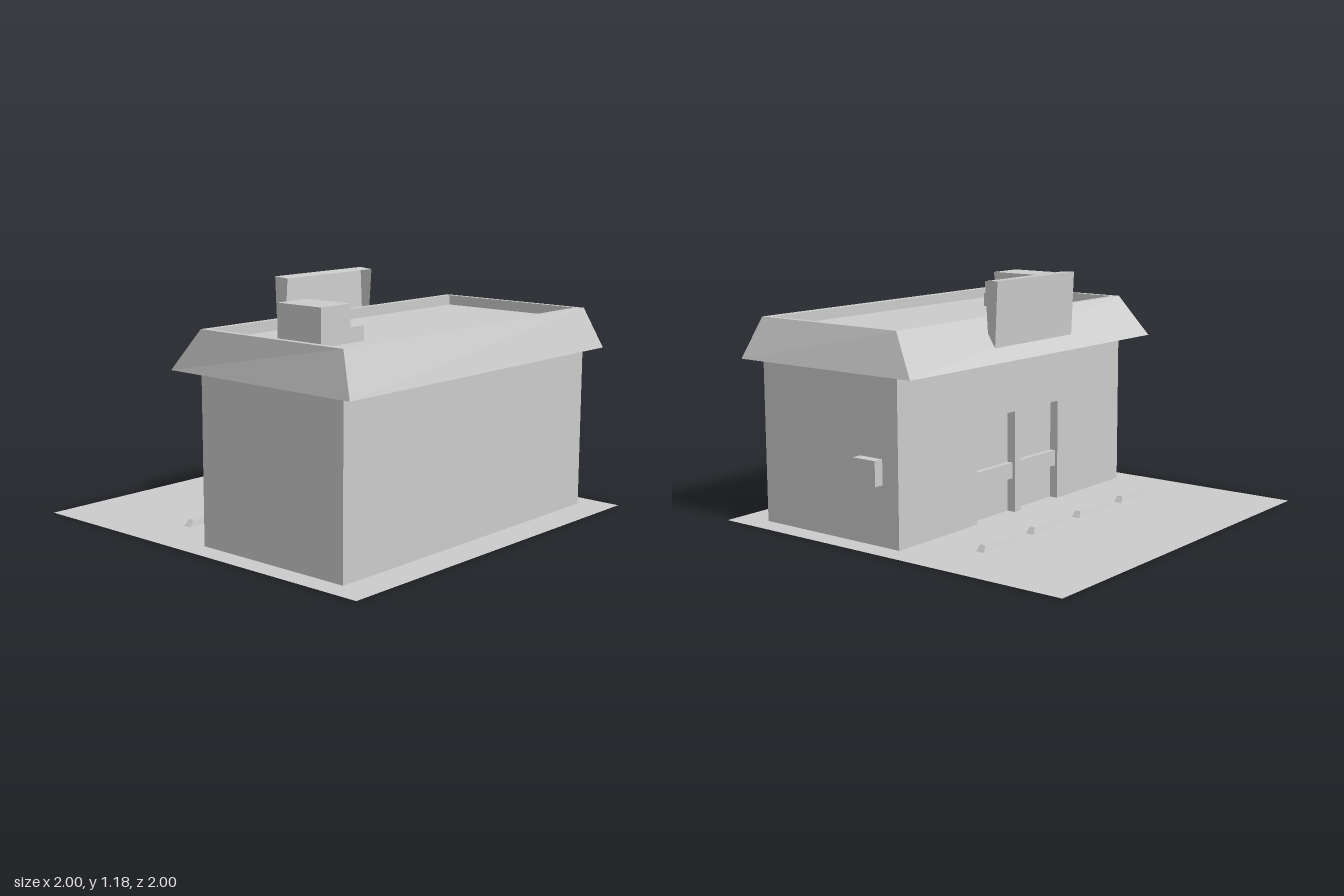
import * as THREE from 'three';

const mat = new THREE.MeshStandardMaterial({ color: 0xcccccc, flatShading: true });
const thinMat = new THREE.MeshStandardMaterial({ color: 0xcccccc, flatShading: true, side: THREE.DoubleSide });

function add(parent, name, geometry, material = mat) {
  const mesh = new THREE.Mesh(geometry, material);
  mesh.name = name;
  parent.add(mesh);
  return mesh;
}

// Box given by its limits on each axis
function box(x0, x1, y0, y1, z0, z1) {
  return new THREE.BoxGeometry(x1 - x0, y1 - y0, z1 - z0)
    .translate((x0 + x1) / 2, (y0 + y1) / 2, (z0 + z1) / 2);
}

// Flat-shaded geometry from four-cornered faces
function quads(faces) {
  const p = [];
  for (const [a, b, c, d] of faces) p.push(...a, ...b, ...c, ...a, ...c, ...d);
  const g = new THREE.BufferGeometry();
  g.setAttribute('position', new THREE.Float32BufferAttribute(p, 3));
  g.computeVertexNormals();
  return g;
}

// Sloping sides between two four-cornered outlines of [x, z], optionally capped on top
function slopedSides(bottom, y0, top, y1, capped) {
  const b = bottom.map(([x, z]) => [x, y0, z]);
  const t = top.map(([x, z]) => [x, y1, z]);
  const faces = b.map((_, i) => {
    const j = (i + 1) % 4;
    return [b[j], b[i], t[i], t[j]];
  });
  if (capped) faces.push([t[3], t[2], t[1], t[0]]);
  return quads(faces);
}

const rect = (x0, x1, z0, z1) => [[x0, z0], [x1, z0], [x1, z1], [x0, z1]];
const toShape = (pts) => new THREE.Shape(pts.map(([x, y]) => new THREE.Vector2(x, y)));

export function createModel() {
  const model = new THREE.Group();
  model.name = 'shopBuilding';

  // Ground slab
  add(model, 'ground', new THREE.PlaneGeometry(2, 2).rotateX(-Math.PI / 2), thinMat);

  // Main body up to the sunken roof
  const X0 = -0.02, X1 = 0.83, Z = 0.89, back = 0.025, roofY = 0.95;
  add(model, 'mainWalls', box(back, X1, 0, roofY, -Z, Z));

  // Entrance wall with a notch for the glazed doorway
  const notch = 0.33, notchTop = 0.51;
  const wall = toShape([
    [-Z, 0], [-notch, 0], [-notch, notchTop], [notch, notchTop],
    [notch, 0], [Z, 0], [Z, roofY], [-Z, roofY],
  ]);
  const wallGeo = new THREE.ExtrudeGeometry(wall, { depth: back - X0, bevelEnabled: false });
  wallGeo.rotateY(-Math.PI / 2).translate(back, 0, 0);
  add(model, 'entranceWall', wallGeo);

  // Door post and push bars
  const entrance = new THREE.Group();
  entrance.name = 'entrance';
  model.add(entrance);
  add(entrance, 'centrePost', box(X0, back, 0, notchTop, -0.03, 0.015));
  add(entrance, 'pushBar', box(-0.005, back, 0.17, 0.25, -notch, -0.03));
  add(entrance, 'pushBar', box(-0.005, back, 0.17, 0.25, 0.015, notch));

  // Parapet rim around the roof
  const rim = toShape(rect(X0, X1, -Z, Z));
  rim.holes.push(toShape(rect(0.01, 0.79, -0.865, 0.86)));
  const rimGeo = new THREE.ExtrudeGeometry(rim, { depth: 1 - roofY, bevelEnabled: false });
  add(model, 'parapet', rimGeo.rotateX(Math.PI / 2).translate(0, 1, 0));

  // Slightly uneven skirt roof, open underneath
  add(model, 'skirtRoof', slopedSides(
    [[-0.155, -0.955], [0.9, -0.965], [0.91, 0.94], [-0.19, 0.92]], 0.8,
    rect(X0, X1, -Z, Z), 1, false), thinMat);

  // Rooftop units
  add(model, 'roofUnit', box(0.27, 0.53, roofY, 1.125, 0.51, 0.7));
  add(model, 'roofDuct', box(0.4, 0.53, roofY, 1.02, 0.42, 0.51));

  // Blank sign board: tapered profile, open towards the roof
  const profile = [[-0.125, 0.865], [-0.14, 1.18], [-0.058, 1.175], [-0.075, 0.93]];
  const near = profile.map(([x, y]) => [x, y, 0.297]);
  const far = profile.map(([x, y], i) => [x, y, i < 2 ? -0.32 : -0.31]);
  add(model, 'signBoard', quads([
    [far[0], near[0], near[1], far[1]],
    [far[1], near[1], near[2], far[2]],
    [near[0], near[3], near[2], near[1]],
    [far[3], far[0], far[1], far[2]],
  ]), thinMat);

  // Meter box on the rear wall
  add(model, 'meterBox', box(0.075, 0.21, 0.29, 0.41, -0.94, -Z));

  // Row of parking kerbs
  for (let i = 0; i < 4; i++) {
    const z = -0.685 + i * 0.375;
    add(model, 'parkingKerb', slopedSides(
      rect(-0.345, -0.3, z, z + 0.285), 0,
      rect(-0.336, -0.306, z + 0.02, z + 0.26), 0.03, true));
  }
  return model;
}
